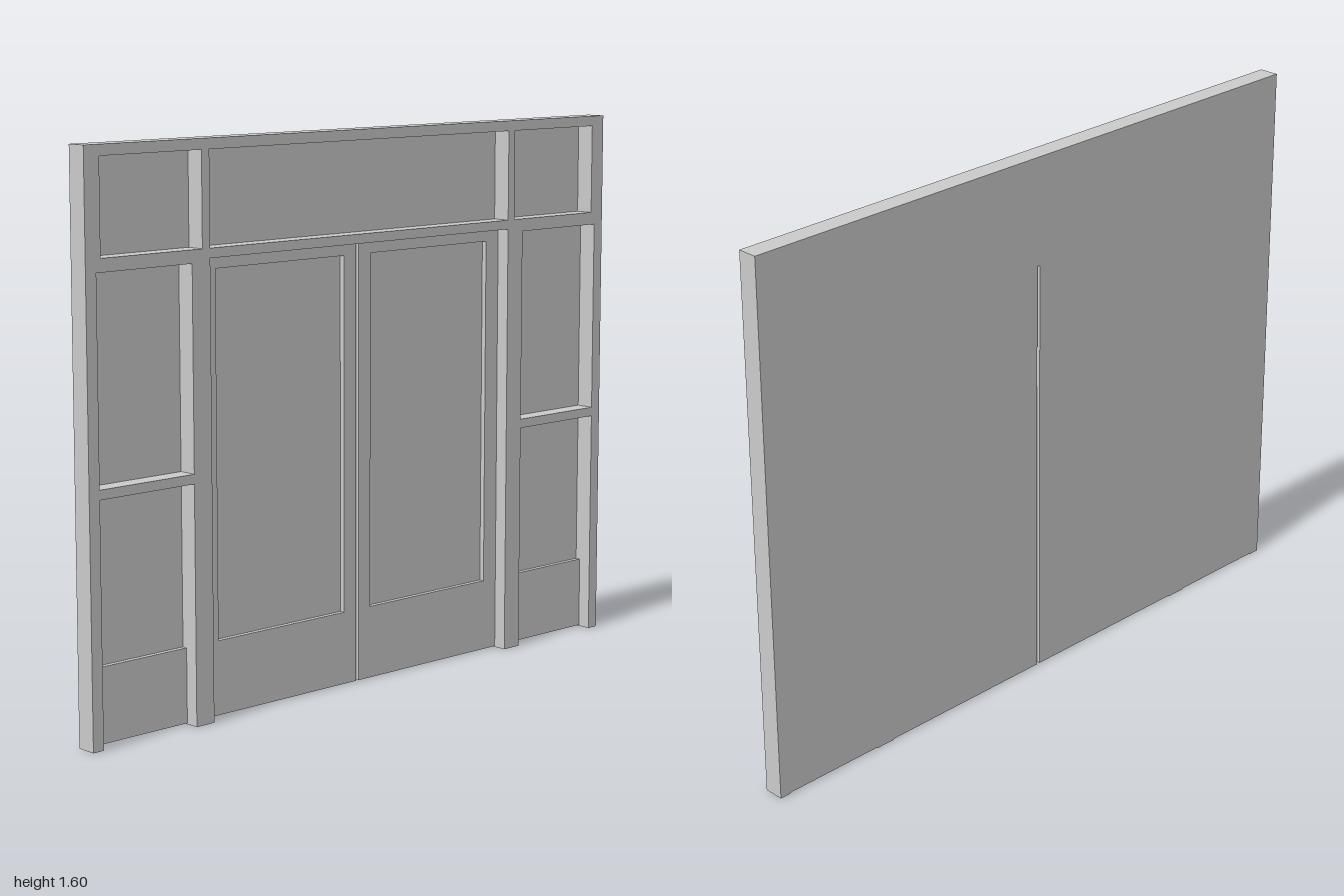
import * as THREE from 'three';

const BACK = -0.03, FRONT = 0.03, GLASS = -0.025, LEAF = -0.01;
const SEAM = 1.307, TOP = 1.6;
const material = new THREE.MeshStandardMaterial({ color: 0xcccccc, flatShading: true });

// Box spanning the given limits, always starting at the flat back plane
function slab(name, x0, x1, y0, y1, front = FRONT) {
  const mesh = new THREE.Mesh(new THREE.BoxGeometry(x1 - x0, y1 - y0, front - BACK), material);
  mesh.position.set((x0 + x1) / 2, (y0 + y1) / 2, (front + BACK) / 2);
  mesh.name = name;
  return mesh;
}

function rectangle(PathType, x0, x1, y0, y1) {
  return new PathType([[x0, y0], [x1, y0], [x1, y1], [x0, y1]].map(p => new THREE.Vector2(...p)));
}

// Door leaf with a recessed pane
function doorLeaf(side) {
  const leaf = new THREE.Group();
  leaf.name = side > 0 ? 'leftDoor' : 'rightDoor';
  const span = (a, b) => side > 0 ? [a, b] : [-b, -a];
  const shape = rectangle(THREE.Shape, ...span(0.005, 0.58), 0.003, 1.28);
  shape.holes.push(rectangle(THREE.Path, ...span(0.052, 0.528), 0.215, 1.245));
  const frame = new THREE.Mesh(
    new THREE.ExtrudeGeometry(shape, { depth: LEAF - BACK, bevelEnabled: false }), material);
  frame.position.z = BACK;
  frame.name = 'doorFrame';
  leaf.add(frame, slab('doorPane', ...span(0.052, 0.528), 0.215, 1.245, GLASS));
  return leaf;
}

// Side light: stile, post, rails, two panes and a kick panel
function sideLight(side) {
  const group = new THREE.Group();
  group.name = side > 0 ? 'leftSideLight' : 'rightSideLight';
  const add = (name, a, b, y0, y1, front) =>
    group.add(slab(name, ...(side > 0 ? [a, b] : [-b, -a]), y0, y1, front));
  add('outerStile', 0.965, 1, 0, SEAM);
  add('doorPost', 0.58, 0.643, 0, SEAM);
  add('topRail', 0.643, 0.965, 1.27, SEAM);
  add('middleRail', 0.643, 0.965, 0.675, 0.702);
  add('upperPane', 0.643, 0.965, 0.702, 1.27, GLASS);
  add('lowerPane', 0.643, 0.965, 0.215, 0.675, GLASS);
  add('kickPanel', 0.643, 0.965, 0.003, 0.215, LEAF);
  // Part of the transom above the side light
  add('transomStile', 0.95, 1, SEAM, TOP);
  add('transomMullion', 0.58, 0.607, SEAM, 1.57);
  add('transomSidePane', 0.607, 0.95, SEAM, 1.57, GLASS);
  add('transomTopRail', 0.58, 0.95, 1.57, TOP);
  return group;
}

export function createModel() {
  const model = new THREE.Group();
  model.name = 'entranceWall';
  for (const side of [-1, 1]) model.add(sideLight(side), doorLeaf(side));
  // Central members above the doors
  model.add(
    slab('doorHead', -0.58, 0.58, 1.28, SEAM),
    slab('transomPane', -0.58, 0.58, SEAM, 1.57, GLASS),
    slab('transomCentreRail', -0.58, 0.58, 1.57, TOP));
  return model;
}
